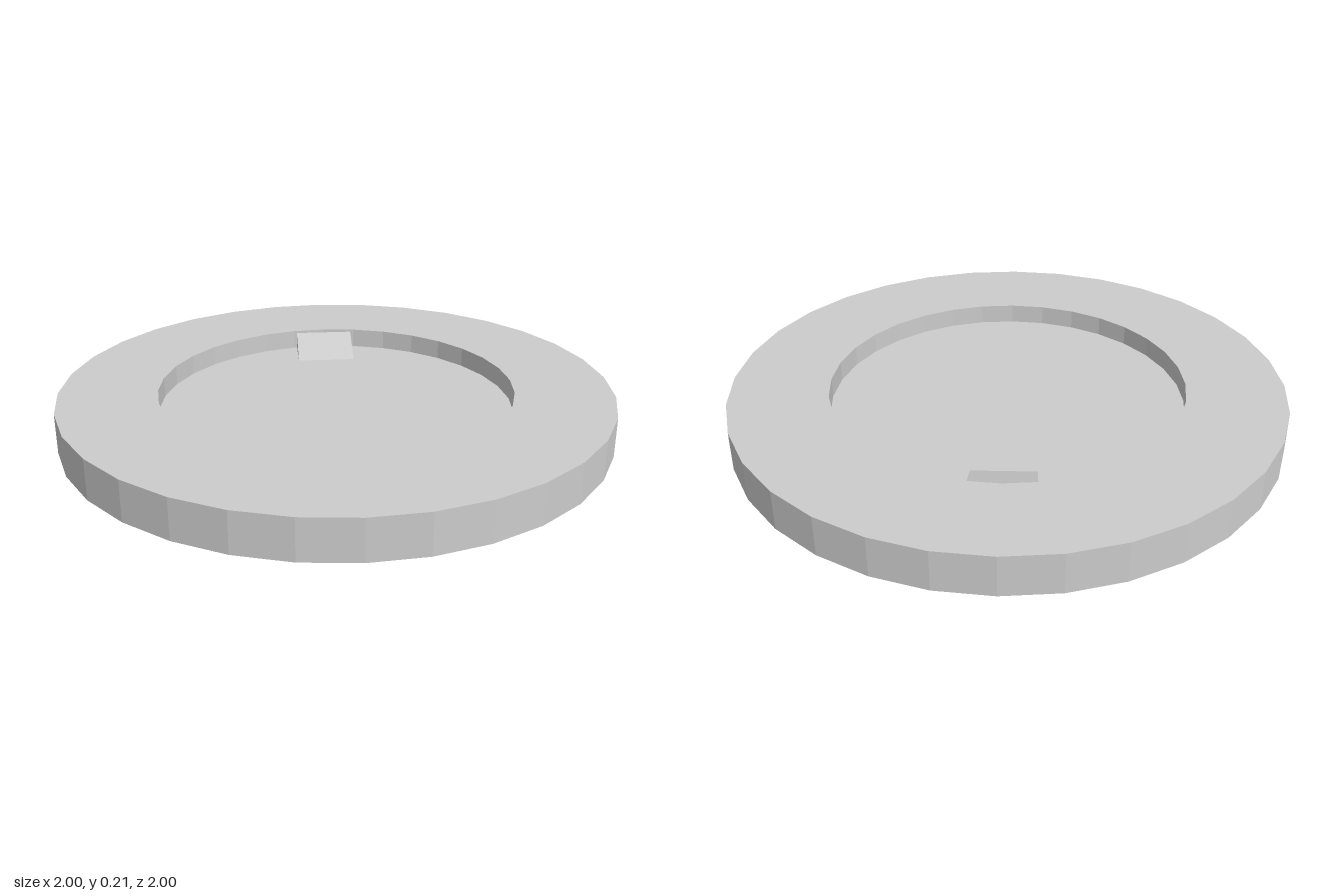
import * as THREE from 'three';

export function createModel() {
  const model = new THREE.Group();
  const material = new THREE.MeshStandardMaterial({ color: 0xcccccc, flatShading: true });

  function addPart(name, geometry) {
    const mesh = new THREE.Mesh(geometry, material);
    mesh.name = name;
    model.add(mesh);
    return mesh;
  }

  // Round plate with a raised rim around a shallow recess
  const bottom = 0.068, floor = 0.14, top = 0.213;
  const outerRadius = 1, recessRadius = 0.644;
  const profile = [
    [0, bottom], [outerRadius, bottom], [outerRadius, top],
    [recessRadius, top], [recessRadius, floor], [0, floor],
  ].map(([r, y]) => new THREE.Vector2(r, y));
  addPart('dish', new THREE.LatheGeometry(profile, 32));

  // Tilted block passing through the recess floor near the back
  const block = addPart('tiltedBlock', new THREE.BoxGeometry(0.225, 0.085, 0.342));
  block.position.set(-0.002, 0.102, -0.489);
  block.rotation.x = 0.375;

  return model;
}
